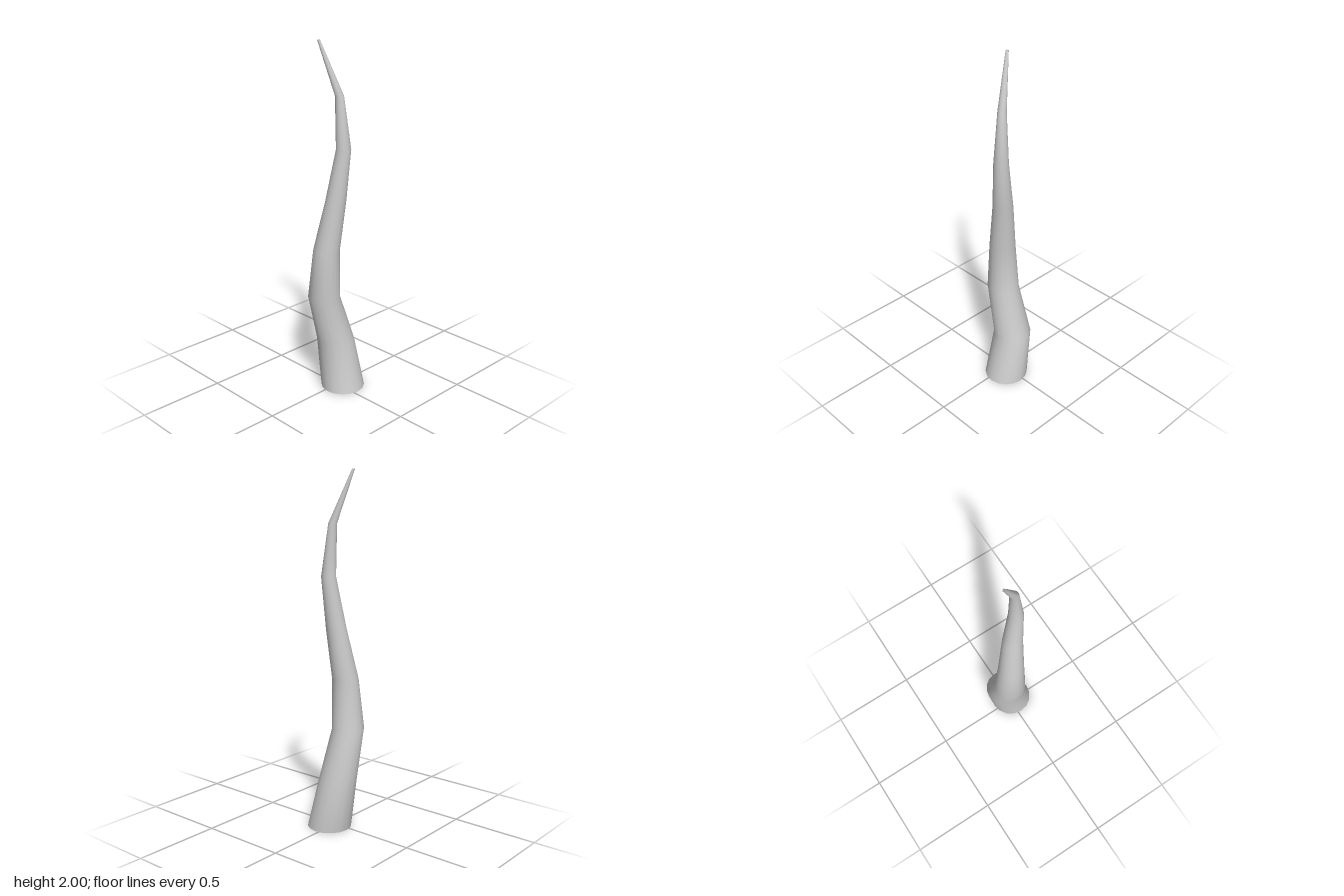
import * as THREE from 'three';
import { mergeVertices } from 'three/addons/utils/BufferGeometryUtils.js';

// Centre line of the horn from base to tip: x, z, radius at evenly spaced heights
const RINGS = [
  [0.027, 0.021, 0.125],
  [0.022, -0.035, 0.108],
  [-0.062, -0.041, 0.091],
  [-0.053, -0.028, 0.074],
  [-0.014, 0.006, 0.057],
  [0.009, 0.041, 0.041],
  [-0.003, 0.022, 0.024],
  [-0.062, -0.072, 0.008],
];
const HEIGHT = 2;
const SIDES = 16;

export function createModel() {
  const group = new THREE.Group();
  group.name = 'twistedHorn';

  // Open tube whose level rings are shifted and tapered along the centre line
  const segments = RINGS.length - 1;
  let geometry = new THREE.CylinderGeometry(1, 1, HEIGHT, SIDES, segments, true);
  geometry.translate(0, HEIGHT / 2, 0);
  const pos = geometry.attributes.position;
  for (let i = 0; i < pos.count; i++) {
    const [cx, cz, r] = RINGS[Math.round((pos.getY(i) / HEIGHT) * segments)];
    pos.setX(i, cx + r * pos.getX(i));
    pos.setZ(i, cz + r * pos.getZ(i));
  }

  // Weld the seam so the shading is smooth all the way round
  geometry.deleteAttribute('uv');
  geometry.deleteAttribute('normal');
  geometry = mergeVertices(geometry, 1e-4);
  geometry.computeVertexNormals();

  const material = new THREE.MeshStandardMaterial({ color: 0xcccccc, side: THREE.DoubleSide });
  const horn = new THREE.Mesh(geometry, material);
  horn.name = 'hornShell';
  group.add(horn);
  return group;
}
